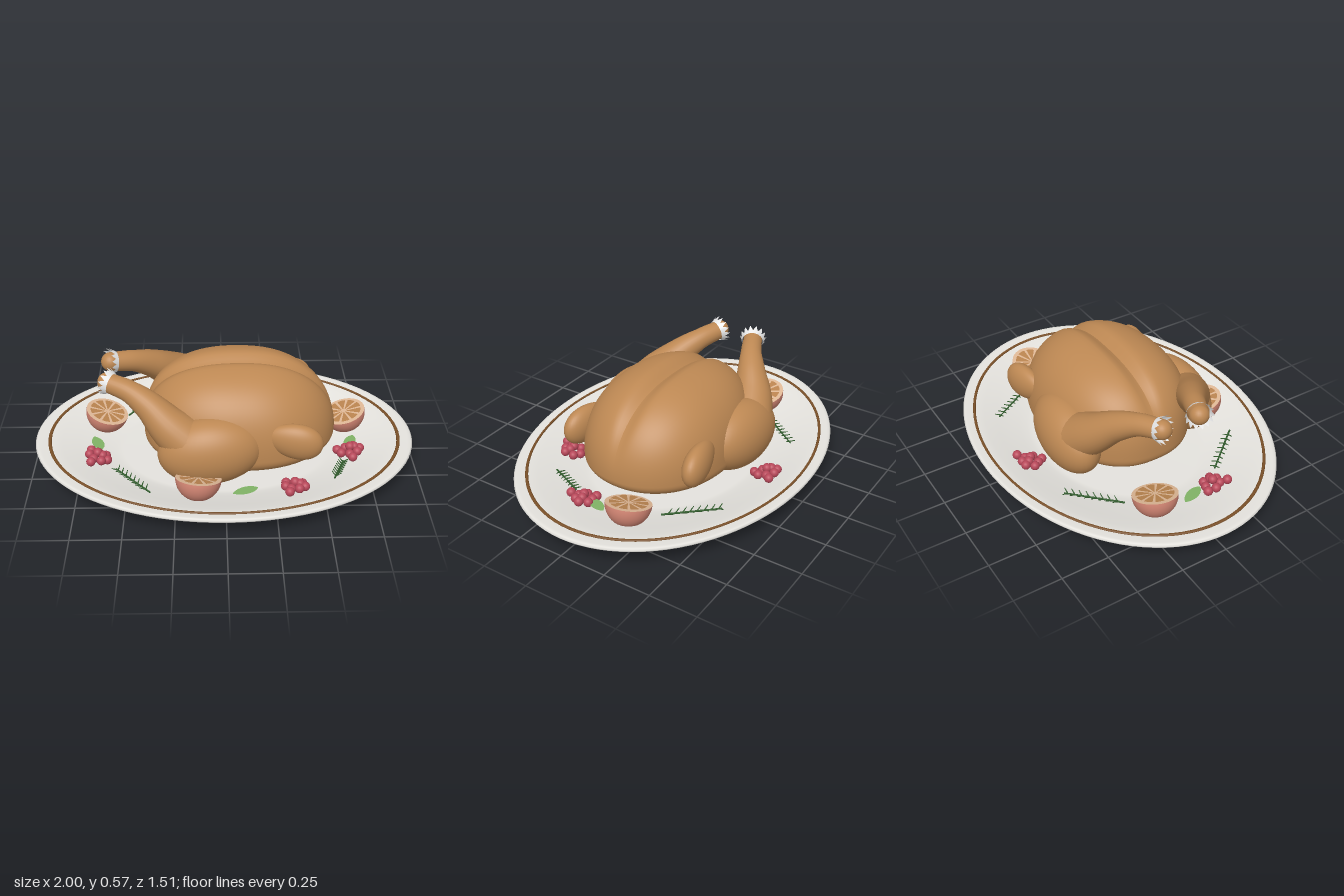
import * as THREE from 'three';

const mat = (name, color, side = THREE.FrontSide) => {
  const m = new THREE.MeshStandardMaterial({ color, side });
  m.name = name;
  return m;
};
const V = (x, y, z) => new THREE.Vector3(x, y, z);
const UP = V(0, 1, 0);
const OVAL = 0.757; // depth of the platter relative to its width

// Upper surface of the platter, radius and height
const TOP = [[0, 0.03], [0.54, 0.03], [0.58, 0.034], [0.63, 0.045], [0.7, 0.06],
  [0.78, 0.08], [0.86, 0.1], [0.91, 0.109], [0.975, 0.114], [0.992, 0.113]];
const UNDER = [[0, 0.008], [0.555, 0.008], [0.565, 0], [0.595, 0], [0.61, 0.01], [0.63, 0.022],
  [0.68, 0.032], [0.76, 0.052], [0.84, 0.075], [0.9, 0.089], [0.96, 0.094], [0.995, 0.097], [1, 0.105]];

function plateY(x, z) {
  const r = Math.hypot(x, z / OVAL);
  for (let i = 1; i < TOP.length; i++) {
    const [r0, y0] = TOP[i - 1], [r1, y1] = TOP[i];
    if (r <= r1) return y0 + (y1 - y0) * (r - r0) / (r1 - r0);
  }
  return 0.113;
}

export function createModel() {
  const model = new THREE.Group();
  model.name = 'roastOnPlatter';
  const china = mat('white china', 0xe4e2dd);
  const trim = mat('brown trim', 0x7a5028);
  const skin = mat('roast skin', 0xbd8853);
  const paper = mat('frill paper', 0xe9e9e9, THREE.DoubleSide);
  const rind = mat('orange rind', 0xd08472);
  const pith = mat('orange pith', 0xdfb896);
  const flesh = mat('orange flesh', 0xba8450);
  const red = mat('berry red', 0xb8485a);
  const leafGreen = mat('leaf green', 0x7fb265, THREE.DoubleSide);
  const herb = mat('herb green', 0x34602f);

  const add = (name, geo, material, parent = model) => {
    const m = new THREE.Mesh(geo, material);
    m.name = name;
    parent.add(m);
    return m;
  };
  const group = (name) => {
    const g = new THREE.Group();
    g.name = name;
    model.add(g);
    return g;
  };

  // Platter and its painted band
  const profile = [...UNDER, ...TOP.slice().reverse()].map(([r, y]) => new THREE.Vector2(r, y));
  add('platter', new THREE.LatheGeometry(profile, 96).scale(1, 1, OVAL), china);
  add('platterBand', new THREE.TorusGeometry(0.925, 0.009, 8, 96).rotateX(Math.PI / 2).scale(1, 0.6, OVAL), trim)
    .position.y = 0.112;

  // Body: a full egg shape with a groove along the breast
  const body = new THREE.SphereGeometry(1, 96, 64).rotateZ(-Math.PI / 2);
  const bp = body.attributes.position;
  for (let i = 0; i < bp.count; i++) {
    const a = bp.getX(i), b = bp.getY(i), c = bp.getZ(i);
    const n = 2.35 - 0.2 * a;
    const k = (Math.abs(a) ** n + Math.abs(b) ** n + Math.abs(c) ** n) ** (-1 / n);
    const z = c * k * 0.385 * (1 - 0.15 * Math.max(0, -a) ** 2);
    let y = 0.18 + b * k * (b > 0 ? 0.395 : 0.14);
    if (b > 0) y -= 0.04 * b * Math.exp(-((z / 0.04) ** 2));
    bp.setXYZ(i, 0.08 + 0.5 * a * k, y, z);
  }
  body.computeVertexNormals();
  add('body', body, skin);

  // Shank swept along a curve with a changing radius
  function shankGeometry(s) {
    const pts = [[-0.59, 0.493, 0.108], [-0.48, 0.47, 0.16], [-0.38, 0.42, 0.22], [-0.28, 0.34, 0.285], [-0.17, 0.26, 0.33]];
    const radii = [0.05, 0.057, 0.078, 0.106, 0.125];
    const curve = new THREE.CatmullRomCurve3(pts.map(([x, y, z]) => V(x, y, z * s)));
    const N = 32, R = 28;
    const geo = new THREE.TubeGeometry(curve, N, 1, R);
    const p = geo.attributes.position, v = V(0, 0, 0);
    for (let i = 0; i <= N; i++) {
      const c = curve.getPointAt(i / N);
      const f = i / N * (radii.length - 1), j = Math.min(Math.floor(f), radii.length - 2);
      const r = THREE.MathUtils.lerp(radii[j], radii[j + 1], f - j);
      for (let q = 0; q <= R; q++) {
        const id = i * (R + 1) + q;
        v.fromBufferAttribute(p, id).sub(c).multiplyScalar(r).add(c);
        p.setXYZ(id, v.x, v.y, v.z);
      }
    }
    return geo;
  }

  // Paper collar with pointed teeth, opening along +y
  function frillGeometry(teeth) {
    const pos = [], idx = [], n = teeth * 2;
    for (let i = 0; i <= n; i++) {
      const t = i / n * Math.PI * 2, tip = i % 2;
      const r = tip ? 0.074 : 0.062, h = tip ? 0.045 : 0.018;
      pos.push(0.056 * Math.cos(t), 0, 0.056 * Math.sin(t), r * Math.cos(t), h, r * Math.sin(t));
      if (i < n) idx.push(2 * i, 2 * i + 1, 2 * i + 2, 2 * i + 1, 2 * i + 3, 2 * i + 2);
    }
    const g = new THREE.BufferGeometry();
    g.setAttribute('position', new THREE.Float32BufferAttribute(pos, 3));
    g.setIndex(idx);
    g.computeVertexNormals();
    return g;
  }

  // Legs and wings on both sides
  for (const s of [1, -1]) {
    const side = s > 0 ? 'front' : 'back';
    const leg = group(side + 'Leg');
    const thigh = add('thigh', new THREE.SphereGeometry(1, 40, 28).scale(0.265, 0.18, 0.145), skin, leg);
    thigh.position.set(-0.075, 0.225, 0.33 * s);
    thigh.rotation.set(0, 0.06 * s, 0.08);
    add('shank', shankGeometry(s), skin, leg);
    add('boneEnd', new THREE.SphereGeometry(0.05, 24, 16), skin, leg).position.set(-0.592, 0.494, 0.107 * s);
    const frill = add('paperFrill', frillGeometry(14), paper, leg);
    frill.position.set(-0.57, 0.489, 0.117 * s);
    frill.quaternion.setFromUnitVectors(UP, V(-0.88, 0.18, -0.42 * s).normalize());

    const wingGeo = new THREE.SphereGeometry(1, 36, 24);
    const wp = wingGeo.attributes.position;
    for (let i = 0; i < wp.count; i++) {
      const x = wp.getX(i), f = 1 + 0.18 * x;
      wp.setXYZ(i, x * 0.148, wp.getY(i) * 0.095 * f, wp.getZ(i) * 0.06 * f);
    }
    wingGeo.computeVertexNormals();
    const wing = add(side + 'Wing', wingGeo, skin);
    wing.position.set(0.34, 0.283, 0.343 * s);
    wing.rotation.set(0, -0.15 * s, -0.15);
  }

  // Orange halves leaning toward the middle, with wedge-shaped segments
  for (const [x, z] of [[-0.635, -0.165], [0.655, -0.145], [-0.135, 0.465]]) {
    const g = group('orangeHalf');
    const d = Math.hypot(x, z), R = 0.115;
    g.position.set(x, 0.152, z);
    g.quaternion.setFromUnitVectors(UP, V(-x / d * 0.3, 1, -z / d * 0.3).normalize());
    add('rind', new THREE.SphereGeometry(R, 36, 14, 0, Math.PI * 2, Math.PI / 2, Math.PI / 2), rind, g);
    add('pith', new THREE.CircleGeometry(R, 36).rotateX(-Math.PI / 2), pith, g);
    for (let i = 0; i < 10; i++) {
      const a = (i + 0.5) * Math.PI / 5;
      const seg = new THREE.CircleGeometry(0.084, 6, a - 0.27, 0.54);
      seg.translate(0.011 * Math.cos(a), 0.011 * Math.sin(a), 0).rotateX(-Math.PI / 2);
      add('segment', seg, flesh, g).position.y = 0.003;
    }
  }

  // Berry clusters: a ring of berries around a raised middle
  const berryGeo = new THREE.SphereGeometry(0.024, 16, 12);
  const berries = [[-0.04, -0.05], [0, -0.035], [0.04, -0.02], [-0.045, -0.005], [0.05, 0.025],
    [-0.02, 0.035], [0.02, 0.045], [-0.03, 0.075], [0, 0.005, 0.026], [0.025, 0.01, 0.016]];
  for (const [x, z, turn] of [[-0.66, 0.16, 0], [0.655, 0.12, 0.5], [0.345, 0.43, 0], [-0.03, -0.52, 2.6]]) {
    const g = group('berryCluster');
    for (const [dx, dz, lift = 0] of berries) {
      const bx = x + dx * Math.cos(turn) + dz * Math.sin(turn);
      const bz = z - dx * Math.sin(turn) + dz * Math.cos(turn);
      add('berry', berryGeo, red, g).position.set(bx, plateY(bx, bz) + 0.022 + lift, bz);
    }
  }

  // Broad leaves, given by their two ends
  const leafShape = new THREE.Shape();
  leafShape.moveTo(-0.07, 0);
  leafShape.bezierCurveTo(-0.03, 0.04, 0.04, 0.04, 0.07, 0);
  leafShape.bezierCurveTo(0.04, -0.04, -0.03, -0.04, -0.07, 0);
  for (const [x0, z0, x1, z1] of [[-0.7, -0.03, -0.645, 0.1], [0.645, 0.1, 0.69, -0.01], [0.035, 0.48, 0.16, 0.43]]) {
    const x = (x0 + x1) / 2, z = (z0 + z1) / 2;
    const leaf = add('leaf', new THREE.ShapeGeometry(leafShape, 10).rotateX(-Math.PI / 2), leafGreen);
    leaf.position.set(x, plateY(x, z) + 0.025, z);
    leaf.rotation.y = Math.atan2(-(z1 - z0), x1 - x0);
  }

  // Herb sprigs: a stem with paired needles
  const rod = (name, a, b, r0, r1, parent) => {
    const d = b.clone().sub(a);
    const m = add(name, new THREE.CylinderGeometry(r1, r0, d.length(), 6), herb, parent);
    m.position.copy(a).add(b).multiplyScalar(0.5);
    m.quaternion.setFromUnitVectors(UP, d.normalize());
  };
  for (const [x0, z0, x1, z1] of [[-0.53, -0.27, -0.335, -0.5], [0.55, -0.26, 0.375, -0.5],
    [0.55, 0.385, 0.615, 0.21], [-0.375, 0.49, -0.56, 0.255]]) {
    const g = group('herbSprig');
    const a = V(x0, plateY(x0, z0) + 0.014, z0), b = V(x1, plateY(x1, z1) + 0.014, z1);
    const dir = b.clone().sub(a).normalize(), across = V(-dir.z, 0, dir.x);
    rod('stem', a, b, 0.005, 0.004, g);
    for (let i = 1; i <= 8; i++) {
      const base = a.clone().lerp(b, i / 8.5);
      for (const s of [1, -1]) {
        const tip = base.clone().addScaledVector(dir, 0.02).addScaledVector(across, 0.025 * s);
        tip.y += 0.012;
        rod('needle', base, tip, 0.004, 0.002, g);
      }
    }
  }
  return model;
}
